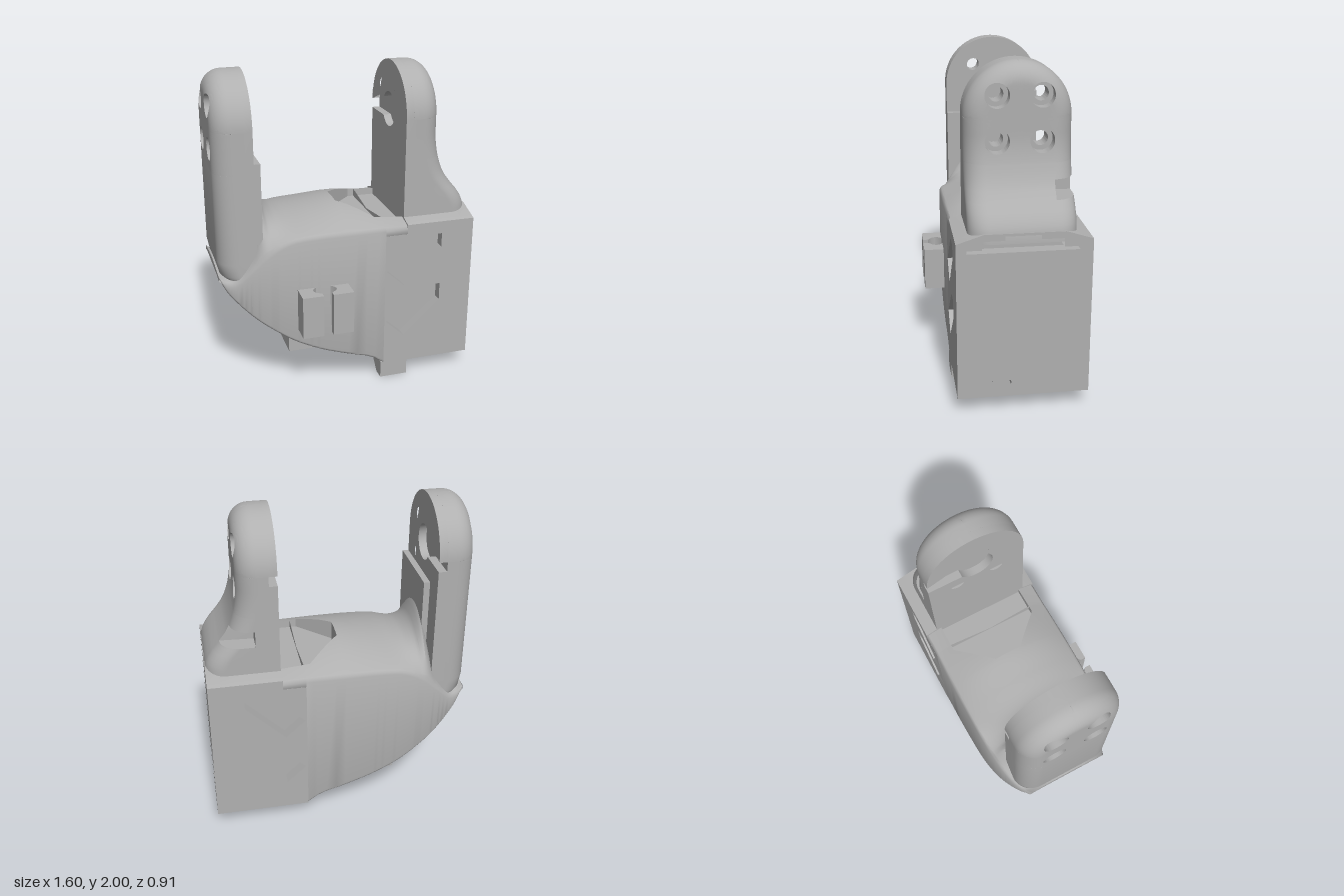
import * as THREE from 'three';
import { toCreasedNormals } from 'three/addons/utils/BufferGeometryUtils.js';

const ZC = -0.06;               // middle plane of the bracket
const R = 0.31, YC = 1.69;      // arm head radius and height
const FILLET = 0.12, HOLE = 0.127;

// Closed loft through rows of [x, y, z]; winding is fixed from the signed volume.
function loft(rows, caps = true) {
  const tris = [], n = rows[0].length;
  const vec = (p) => new THREE.Vector3(...p);
  const add = (a, b, c) => {
    const t = new THREE.Triangle(vec(a), vec(b), vec(c));
    if (t.getArea() > 1e-8) tris.push(t);
  };
  for (let i = 0; i < rows.length - 1; i++) for (let j = 0; j < n; j++) {
    const k = (j + 1) % n, p = rows[i], q = rows[i + 1];
    add(p[j], p[k], q[k]);
    add(p[j], q[k], q[j]);
  }
  if (caps) [rows[0], rows[rows.length - 1]].forEach((row, e) => {
    const mid = [0, 1, 2].map((a) => row.reduce((s, p) => s + p[a], 0) / n);
    row.forEach((p, j) => {
      const q = row[(j + 1) % n];
      if (e) add(mid, p, q); else add(mid, q, p);
    });
  });
  const volume = tris.reduce((s, t) => s + t.a.dot(t.b.clone().cross(t.c)), 0);
  const pos = [];
  tris.forEach((t) => (volume > 0 ? [t.a, t.b, t.c] : [t.a, t.c, t.b]).forEach((v) => pos.push(v.x, v.y, v.z)));
  const g = new THREE.BufferGeometry();
  g.setAttribute('position', new THREE.Float32BufferAttribute(pos, 3));
  return toCreasedNormals(g, Math.PI / 5);
}

// Prism along an axis. Points are [z, y] for x, [x, z] for y and [x, y] for z.
function prism(axis, pts, from, to, holes = []) {
  const map = ([a, b]) => new THREE.Vector2(axis === 'x' ? -a : a, axis === 'y' ? -b : b);
  const shape = new THREE.Shape(pts.map(map));
  holes.forEach((h) => shape.holes.push(new THREE.Path(h.map(map))));
  const g = new THREE.ExtrudeGeometry(shape, { depth: to - from, bevelEnabled: false });
  if (axis === 'x') g.rotateY(Math.PI / 2).translate(from, 0, 0);
  else if (axis === 'y') g.rotateX(-Math.PI / 2).translate(0, from, 0);
  else g.translate(0, 0, from);
  return toCreasedNormals(g, Math.PI / 5);
}

const arc = (cx, cy, r, a0, a1, n) => Array.from({ length: n + 1 }, (_, i) => {
  const a = a0 + ((a1 - a0) * i) / n;
  return [cx + r * Math.cos(a), cy + r * Math.sin(a)];
});
const circle = (cx, cy, r, n = 24) => arc(cx, cy, r, 0, Math.PI * 2, n).slice(0, n);
const rect = (a0, b0, a1, b1) => [[a0, b0], [a1, b0], [a1, b1], [a0, b1]];
const box = (x0, x1, y0, y1, z0, z1) => prism('z', rect(x0, y0, x1, y1), z0, z1);

// Shell stations: x, half width, bottom, shoulder height, crown height
const STATIONS = [
  [-0.8, 0.265, 0.78, 0.79, 0.82], [-0.75, 0.294, 0.69, 0.76, 0.83], [-0.7, 0.318, 0.63, 0.765, 0.87],
  [-0.6, 0.353, 0.53, 0.86, 1.02], [-0.53, 0.369, 0.472, 0.93, 1.29], [-0.5, 0.374, 0.45, 0.955, 1.21],
  [-0.45, 0.381, 0.413, 0.99, 1.15], [-0.4, 0.385, 0.378, 1.015, 1.125], [-0.35, 0.388, 0.347, 1.03, 1.115],
  [-0.2, 0.39, 0.272, 1.04, 1.13], [0, 0.39, 0.2, 1.04, 1.155], [0.15, 0.387, 0.15, 1.04, 1.14],
  [0.22, 0.385, 0.1, 1.04, 1.125], [0.36, 0.385, 0.1, 1.04, 1.1],
];
const spline = new THREE.CubicInterpolant(STATIONS.map((s) => s[0]), STATIONS.flatMap((s) => s.slice(1)), 4);

// One shell section; a pocket with a flat floor is cut in its top when asked for.
function shellSection(x, pocket, bottom) {
  const [W, B0, T, C] = Array.from(spline.evaluate(x));
  const B = bottom ?? B0, r = bottom ? 0.001 : 0.02;
  const h = THREE.MathUtils.clamp(0.085 + (x + 0.02) * 0.98, 0.085, 0.28);
  const top = (z) => T + (C - T) * (1 - (z / W) ** 2);
  const half = [[0, B], ...arc(W - r, B + r, r, -Math.PI / 2, 0, 4), [W, T - 0.02], [W - 0.006, T - 0.005]];
  for (let i = 1; i <= 16; i++) {
    const z = h + (W - 0.012 - h) * Math.cos((i / 16) * Math.PI / 2);
    half.push([z, top(z)]);
  }
  for (const k of [1, 0.75, 0.5, 0.25, 0]) half.push([h * k, pocket ? 1.03 : top(h * k)]);
  const mirrored = half.slice(1, -1).reverse().map(([z, y]) => [-z, y]);
  return [...half, ...mirrored].map(([z, y]) => [x, y, ZC + z]);
}

// Quarter of an arm head around one counterbored hole, with a rounded outer rim
function headQuarter(s, xo, xi, sz, upper, flare) {
  const line = (a, b) => Array.from({ length: 24 }, (_, i) => {
    const t = (1 - Math.cos((i / 24) * Math.PI)) / 2;
    return [0, 1].map((k) => a[k] + (b[k] - a[k]) * t);
  });
  const edge = upper
    ? [...line([0, 0], [R, 0]), ...arc(0, 0, R, 0, Math.PI / 2, 24), ...line([0, R], [0, 0]).slice(1)]
    : [...line([0, 0], [0, -0.25]), ...line([0, -0.25], [R, -0.25]), ...line([R, -0.25], [R, 0]), ...line([R, 0], [0, 0])];
  const hy = upper ? HOLE : -HOLE;
  const outer = ([z, y]) => {
    const d = Math.max(0, FILLET - Math.max(0, R - (upper ? Math.hypot(z, y) : z)));
    const spread = flare * Math.max(0, -0.09 - y) ** 2;
    return xo + spread - s * (FILLET - Math.sqrt(Math.max(0, FILLET ** 2 - d ** 2)));
  };
  const ring = (r) => edge.map(([z, y]) => {
    const a = Math.atan2(y - hy, z - HOLE);
    return [HOLE + r * Math.cos(a), hy + r * Math.sin(a)];
  });
  const rim = ring(0.07), bore = ring(0.043), rows = [];
  const put = (pts, fx) => rows.push(pts.map((p) => [fx(p), YC + p[1], ZC + sz * p[0]]));
  for (let k = 0; k <= 14; k++) {
    const t = (k / 14) ** 1.7;
    put(edge.map((p, j) => [p[0] + (rim[j][0] - p[0]) * t, p[1] + (rim[j][1] - p[1]) * t]), outer);
  }
  put(rim, () => xo - s * 0.07);
  put(bore, () => xo - s * 0.07);
  put(bore, () => xi);
  put(edge, () => xi);
  rows.push(rows[0]);
  return loft(rows, false);
}

// Lower arm: stations of [y, outer x, notched]; the notch cuts the rear outer corner
function armPost(s, xi, stations) {
  return loft(stations.map(([y, X, notched]) => {
    const half = [[xi, R], ...arc(X - s * FILLET, R - FILLET, FILLET, Math.PI / 2, 0, 16)
      .map(([x, z]) => [s > 0 ? x : 2 * (X - s * FILLET) - x, z])];
    return [...half, ...half.slice().reverse().map(([x, z]) => [x, -z])]
      .map(([x, z]) => [notched && z < FILLET - R - 0.001 ? Math.min(x, 0.5) : x, y, ZC + z]);
  }));
}

export function createModel() {
  const model = new THREE.Group();
  const grey = new THREE.MeshStandardMaterial({ color: 0xb0b0b0 });
  grey.name = 'plain grey';
  const add = (name, geometry, parent = model) => {
    const mesh = new THREE.Mesh(geometry, grey);
    mesh.name = name;
    parent.add(mesh);
  };

  // Curved shell with the pocket in its top
  const rows = [];
  for (let i = 0; i <= 52; i++) rows.push(shellSection(-0.8 + (0.78 * i) / 52, false));
  for (const x of [-0.02, 0.04, 0.1, 0.16, 0.18, 0.22]) rows.push(shellSection(x, true));
  add('shell', loft(rows));
  add('shellTop', loft([0.22, 0.29, 0.36].map((x) => shellSection(x, true, 0.99))));

  // Square housing: slotted walls, floor with holes, roof and end frame
  const slots = [
    [[0.23, 0.75], [0.47, 0.97], [0.59, 0.97], [0.59, 0.88], [0.35, 0.64]],
    [[0.23, 0.4], [0.48, 0.625], [0.59, 0.625], [0.59, 0.51], [0.35, 0.29]],
  ];
  const wall = [[0.22, 0.1], [0.72, 0.1], [0.72, 1.05], [0.36, 1.05], [0.36, 0.99], [0.22, 0.99]];
  add('frontWall', prism('z', wall, 0.265, 0.325, slots));
  add('backWall', prism('z', wall, -0.445, -0.37, slots));
  add('floor', prism('y', rect(0.22, -0.37, 0.72, 0.265), 0.1, 0.2,
    [circle(0.64, -0.3, 0.035, 6), circle(0.64, 0.19, 0.035, 6)]));
  const roof = [[0.325, 1.05], [0.17, 1.1], [-0.29, 1.1], [-0.445, 1.05]];
  add('roof', prism('x', [[0.325, 0.99], ...roof, [-0.445, 0.99]], 0.36, 0.72));
  const opening = [[0.265, 0.2], [0.265, 1.01], [0.18, 1.01], [0.18, 1.06], [0.05, 1.06], [0.05, 1.085],
    [-0.15, 1.085], [-0.15, 1.06], [-0.28, 1.06], [-0.28, 1.01], [-0.37, 1.01], [-0.37, 0.2],
    [-0.23, 0.2], [-0.23, 0.18], [-0.12, 0.18], [-0.12, 0.15], [0.01, 0.15], [0.01, 0.18], [0.12, 0.18], [0.12, 0.2]];
  add('endFrame', prism('x', [[0.325, 0.1], ...roof, [-0.445, 0.1]], 0.72, 0.8, [opening]));
  add('innerBlock', box(0.22, 0.797, 0.2, 0.99, -0.37, 0.265));

  // Foot under the front edge
  add('foot', prism('x', [[0.325, 0.11], [0.325, 0], [0.25, 0], [0.14, 0.11]], 0.2, 0.38));

  // Mounting pad under the curved shell
  const padHoles = [-0.24, -0.13, 0, 0.1].map((z, i) => circle(i % 2 ? -0.17 : -0.22, z, 0.03, 16));
  add('mountPad', prism('y', rect(-0.37, -0.3, 0.03, 0.17), 0.2, 0.25, padHoles));
  add('mountBlock', box(-0.37, 0.03, 0.25, 0.39, -0.3, 0.17));

  // Cable clip: two mirrored jaws
  const jaw = [[0.16, 0.3], [0.16, 0.455], [0.03, 0.455], [0.03, 0.42], [0.065, 0.395], [0.075, 0.37], [0.065, 0.345], [0.035, 0.32], [0.035, 0.3]];
  for (const s of [-1, 1]) add('clipJaw', prism('y', jaw.map(([x, z]) => [-0.185 + s * x, z]), 0.44, 0.71));

  // Arms: rounded heads with four holes, recessed inner faces, posts
  const a = Math.asin(0.06 / 0.11);
  const inner = [[ZC - R, YC - 0.25], [ZC + R, YC - 0.25], ...arc(ZC, YC, R, 0, Math.PI, 32), [ZC - R, YC + 0.06],
    ...arc(ZC, YC, 0.11, Math.PI - a, a - Math.PI, 28), [ZC - R, YC - 0.06]];
  const holes = [-1, 1].flatMap((u) => [-1, 1].map((v) => circle(ZC + u * HOLE, YC + v * HOLE, 0.043)));
  const arms = [
    { name: 'rightArm', s: -1, xo: -0.8, face: -0.57, flare: 0, post: [[0.7, -0.69], [0.76, -0.75], [0.8, -0.785], [0.88, -0.8], [1.44, -0.8]] },
    { name: 'leftArm', s: 1, xo: 0.59, face: 0.36, flare: 0.75, post: [[1.04, 0.8], [1.1, 0.797], [1.13, 0.787], [1.16, 0.773],
      [1.2, 0.745], [1.24, 0.71], [1.25, 0.702], [1.25, 0.702, true], [1.3, 0.664, true], [1.35, 0.638, true], [1.35, 0.638], [1.4, 0.62], [1.44, 0.609]] },
  ];
  for (const { name, s, xo, face, flare, post } of arms) {
    const arm = new THREE.Group();
    arm.name = name;
    const xi = face + s * 0.05;
    for (const sz of [-1, 1]) for (const upper of [true, false]) add('armHead', headQuarter(s, xo, xi, sz, upper, flare), arm);
    add('armInnerFace', prism('x', inner, Math.min(face, xi), Math.max(face, xi), holes), arm);
    add('armPost', armPost(s, face, post), arm);
    model.add(arm);
  }
  add('armStep', box(-0.58, -0.532, 1, 1.5, -0.23, 0.25));
  return model;
}
